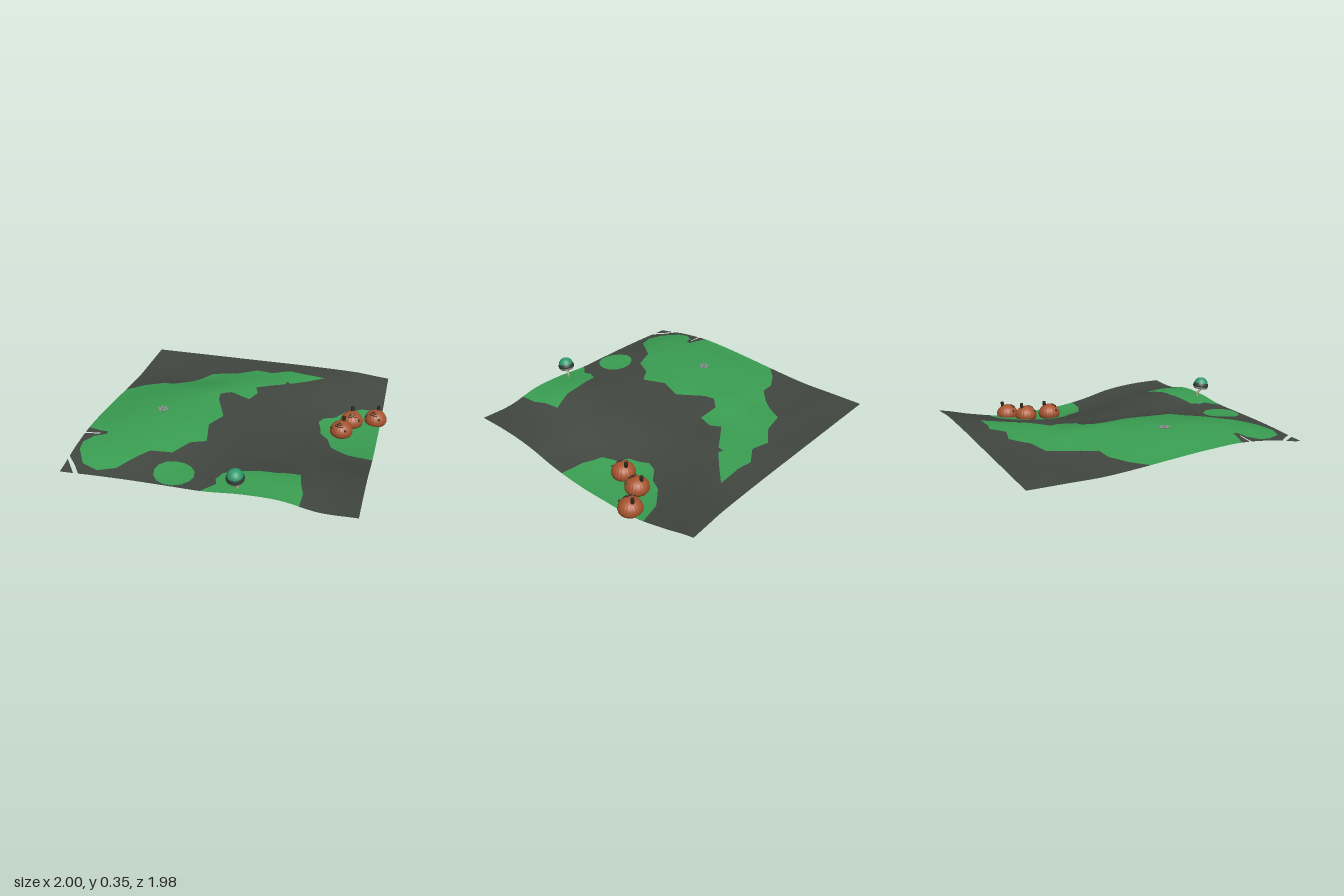
import * as THREE from 'three';

const mat = (color, opts = {}) => new THREE.MeshStandardMaterial({ color, ...opts });
const X0 = -1, X1 = 0.955, Z0 = -0.99, Z1 = 0.97;

// Control heights: rows run back to front, columns run from -x to +x
const HEIGHTS = [
  [0.155, 0.155, 0.155, 0.155, 0.155, 0.155, 0.152, 0.145, 0.12],
  [0.155, 0.155, 0.155, 0.158, 0.172, 0.172, 0.145, 0.1, 0.063],
  [0.155, 0.157, 0.166, 0.195, 0.193, 0.172, 0.11, 0.05, 0.018],
  [0.172, 0.197, 0.222, 0.235, 0.187, 0.155, 0.085, 0.026, 0.018],
  [0.195, 0.23, 0.247, 0.235, 0.185, 0.155, 0.09, 0.038, 0.028],
  [0.215, 0.245, 0.253, 0.235, 0.182, 0.165, 0.12, 0.073, 0.064],
  [0.225, 0.245, 0.245, 0.215, 0.185, 0.18, 0.16, 0.128, 0.122],
  [0.205, 0.225, 0.22, 0.187, 0.185, 0.213, 0.205, 0.152, 0.15],
  [0.165, 0.175, 0.18, 0.18, 0.18, 0.2, 0.198, 0.153, 0.155],
];

// Smooth interpolation through a row of samples, u from 0 to 1
function spline(values, u) {
  const last = values.length - 1;
  const i = Math.min(last - 1, Math.max(0, Math.floor(u * last))), t = u * last - i;
  const at = k => values[Math.min(last, Math.max(0, k))];
  const [a, b, c, d] = [at(i - 1), at(i), at(i + 1), at(i + 2)];
  return b + 0.5 * t * (c - a + t * (2 * a - 5 * b + 4 * c - d + t * (3 * (b - c) + d - a)));
}

function heightAt(x, z) {
  return spline(HEIGHTS.map(row => spline(row, (x - X0) / (X1 - X0))), (z - Z0) / (Z1 - Z0));
}

const points = list => list.map(([x, z]) => new THREE.Vector2(x, z));

// Fill a plan outline, subdivide it and drape it over the height field
function drape(name, outline, holes, material) {
  const all = [...outline, ...holes.flat()];
  let tris = THREE.ShapeUtils.triangulateShape(outline, holes).map(f => f.map(i => all[i]));
  for (let level = 0; level < 4; level++) {
    tris = tris.flatMap(([a, b, c]) => {
      const mid = (p, q) => p.clone().add(q).multiplyScalar(0.5);
      const ab = mid(a, b), bc = mid(b, c), ca = mid(c, a);
      return [[a, ab, ca], [ab, b, bc], [ca, bc, c], [ab, bc, ca]];
    });
  }
  const pos = [], nor = [], e = 0.02;
  for (const [a, b, c] of tris) {
    const up = (b.y - a.y) * (c.x - a.x) - (b.x - a.x) * (c.y - a.y) > 0;
    for (const p of up ? [a, b, c] : [a, c, b]) {
      pos.push(p.x, heightAt(p.x, p.y), p.y);
      const n = new THREE.Vector3(
        heightAt(p.x - e, p.y) - heightAt(p.x + e, p.y), 2 * e,
        heightAt(p.x, p.y - e) - heightAt(p.x, p.y + e)).normalize();
      nor.push(n.x, n.y, n.z);
    }
  }
  const geo = new THREE.BufferGeometry();
  geo.setAttribute('position', new THREE.Float32BufferAttribute(pos, 3));
  geo.setAttribute('normal', new THREE.Float32BufferAttribute(nor, 3));
  const mesh = new THREE.Mesh(geo, material);
  mesh.name = name;
  return mesh;
}

function add(parent, name, geo, material, x = 0, y = 0, z = 0) {
  const mesh = new THREE.Mesh(geo, material);
  mesh.name = name;
  mesh.position.set(x, y, z);
  parent.add(mesh);
  return mesh;
}

function createTerrain() {
  const group = new THREE.Group();
  group.name = 'terrain';
  const soil = mat(0x414640, { side: THREE.DoubleSide });
  const grass = mat(0x3a9e52, { side: THREE.DoubleSide });

  // Grass outlines in plan
  const hill = points([
    [-1, -0.18], [-0.89, -0.28], [-0.76, -0.35], [-0.65, -0.36], [-0.55, -0.45], [-0.49, -0.53],
    [-0.43, -0.64], [-0.25, -0.68], [-0.1, -0.78], [0.04, -0.75], [0.17, -0.83], [0.27, -0.81],
    [0.46, -0.81], [0.35, -0.71], [0.22, -0.6], [0.19, -0.62], [0.18, -0.57], [0.1, -0.52],
    [-0.02, -0.44], [0.01, -0.36], [-0.03, -0.25], [-0.17, -0.27], [-0.24, -0.2], [-0.23, -0.12],
    [-0.14, 0.08], [-0.2, 0.24], [-0.16, 0.43], [-0.26, 0.49], [-0.34, 0.63], [-0.48, 0.67],
    [-0.64, 0.88], [-0.76, 0.92], [-0.88, 0.87], [-0.96, 0.74], [-0.97, 0.66], [-0.92, 0.59],
    [-0.84, 0.56], [-0.84, 0.53], [-0.9, 0.52], [-1, 0.49],
  ]);
  const hollow = points([
    [X1, -0.59], [0.8, -0.56], [0.67, -0.46], [0.62, -0.37], [0.54, -0.31], [0.51, -0.24],
    [0.54, -0.15], [0.55, -0.09], [0.61, -0.04], [0.65, 0.07], [0.78, 0.13], [X1, 0.15],
  ]);
  const bank = points([
    [0.59, 0.97], [0.59, 0.84], [0.56, 0.75], [0.54, 0.64], [0.38, 0.7], [0.27, 0.71],
    [0.05, 0.76], [0.02, 0.83], [0.04, 0.88], [-0.01, 0.93], [-0.04, 0.97],
  ]);
  const round = points(Array.from({ length: 14 }, (_, i) => {
    const a = i / 14 * Math.PI * 2;
    return [-0.26 + 0.135 * Math.cos(a), 0.83 + 0.13 * Math.sin(a)];
  }));

  // Soil fills the rest of the square, with a split on the left edge
  const soilOutline = [
    ...points([[X0, Z0], [X1, Z0]]), ...hollow, ...points([[X1, Z1]]), ...bank,
    ...points([[-0.87, 0.97], [-0.93, 0.89], [-1, 0.815], [-1, 0.565], [-0.89, 0.558], [-0.89, 0.55], [-1, 0.55]]),
    ...hill.slice().reverse(),
  ];
  const corner = points([[-1, 0.845], [-0.95, 0.91], [-0.905, 0.97], [-1, 0.97]]);

  group.add(
    drape('soil', soilOutline, [round], soil), drape('soilCorner', corner, [], soil),
    drape('grassHill', hill, [], grass), drape('grassHollow', hollow, [], grass),
    drape('grassBank', bank, [], grass), drape('grassRound', round, [], grass));
  return group;
}

// Ribbed dome with a flat foot, carved face and short stem
function createPumpkin(x, y, z, turn) {
  const group = new THREE.Group();
  group.name = 'pumpkin';
  const skin = mat(0xa8552f), dark = mat(0x30291f);
  const domeY = r => 0.038 + 0.074 * Math.sqrt(1 - (r / 0.084) ** 2);
  const profile = [[0, 0.004], [0.055, 0.002], [0.074, 0.01], [0.082, 0.024], [0.084, 0.038]];
  for (let a = 10; a <= 90; a += 10) {
    const r = 0.084 * Math.cos(a * Math.PI / 180);
    profile.push([Math.max(0, r), domeY(r)]);
  }
  const body = new THREE.LatheGeometry(profile.map(p => new THREE.Vector2(...p)), 100);
  const p = body.attributes.position;
  for (let i = 0; i < p.count; i++) {
    const k = 0.985 + 0.015 * Math.cos(20 * Math.atan2(p.getZ(i), p.getX(i)));
    p.setXYZ(i, p.getX(i) * k, p.getY(i), p.getZ(i) * k);
  }
  body.computeVertexNormals();
  add(group, 'pumpkinBody', body, skin);

  const stem = add(group, 'pumpkinStem', new THREE.CylinderGeometry(0.013, 0.013, 0.045, 8), dark, 0, 0.114, -0.037);
  stem.rotation.x = -0.12;

  // Eyes and curved mouth lines follow the dome
  const onDome = (a, r) => new THREE.Vector3(r * Math.sin(a), domeY(r), r * Math.cos(a));
  for (const s of [-1, 1]) {
    const eye = add(group, 'pumpkinEye', new THREE.SphereGeometry(0.009, 10, 8), dark);
    eye.position.copy(onDome(s * 0.8, 0.074));
  }
  for (const r of [0.026, 0.04, 0.054]) {
    const curve = new THREE.CatmullRomCurve3([-0.6, -0.3, 0, 0.3, 0.6].map(a => onDome(a, r)));
    add(group, 'pumpkinMouth', new THREE.TubeGeometry(curve, 12, 0.004, 6), dark);
  }
  group.position.set(x, y, z);
  group.rotation.y = turn;
  return group;
}

// Banded cap on a bent stem
function createMushroom() {
  const group = new THREE.Group();
  group.name = 'mushroom';
  const path = new THREE.CatmullRomCurve3([[0.185, 0.195, 0.905], [0.186, 0.225, 0.903],
    [0.178, 0.25, 0.92], [0.175, 0.285, 0.93]].map(q => new THREE.Vector3(...q)));
  add(group, 'mushroomStem', new THREE.TubeGeometry(path, 16, 0.009, 10), mat(0xb5a78c));

  const cap = new THREE.Group();
  cap.name = 'mushroomCap';
  const band = (name, color, list) => add(cap, name,
    new THREE.LatheGeometry(list.map(q => new THREE.Vector2(...q)), 32), mat(color, { side: THREE.DoubleSide }));
  band('capUnderside', 0xb0aa98, [[0, 0.012], [0.03, 0.002], [0.05, 0], [0.056, 0.008], [0.058, 0.016]]);
  band('capBand', 0x2f4038, [[0.058, 0.016], [0.06, 0.024], [0.058, 0.034], [0.053, 0.045]]);
  band('capTop', 0x2f9a6c, [[0.053, 0.045], [0.049, 0.058], [0.041, 0.071], [0.03, 0.08], [0.015, 0.086], [0, 0.088]]);
  cap.position.set(0.178, 0.265, 0.926);
  cap.rotation.x = 0.15;
  group.add(cap);
  return group;
}

// Six petals around a small centre
function createFlower(x, z) {
  const group = new THREE.Group();
  group.name = 'flower';
  const grey = mat(0x8a8a8a);
  for (let i = 0; i < 6; i++) {
    const a = i / 6 * Math.PI * 2;
    const petal = add(group, 'petal', new THREE.SphereGeometry(0.015, 12, 8), grey,
      0.026 * Math.cos(a), 0.003, 0.026 * Math.sin(a));
    petal.scale.set(1, 0.4, 0.8);
    petal.rotation.y = -a;
  }
  add(group, 'flowerCentre', new THREE.SphereGeometry(0.008, 12, 8), mat(0x777777), 0, 0.001, 0);
  group.position.set(x, heightAt(x, z), z);
  return group;
}

export function createModel() {
  const model = new THREE.Group();
  model.name = 'gardenGround';
  model.add(
    createTerrain(),
    createPumpkin(0.69, 0.028, -0.17, -0.3),
    createPumpkin(0.745, 0.02, -0.345, 0.1),
    createPumpkin(0.915, 0, -0.445, -0.4),
    createMushroom(), createFlower(-0.57, 0.16));
  return model;
}
